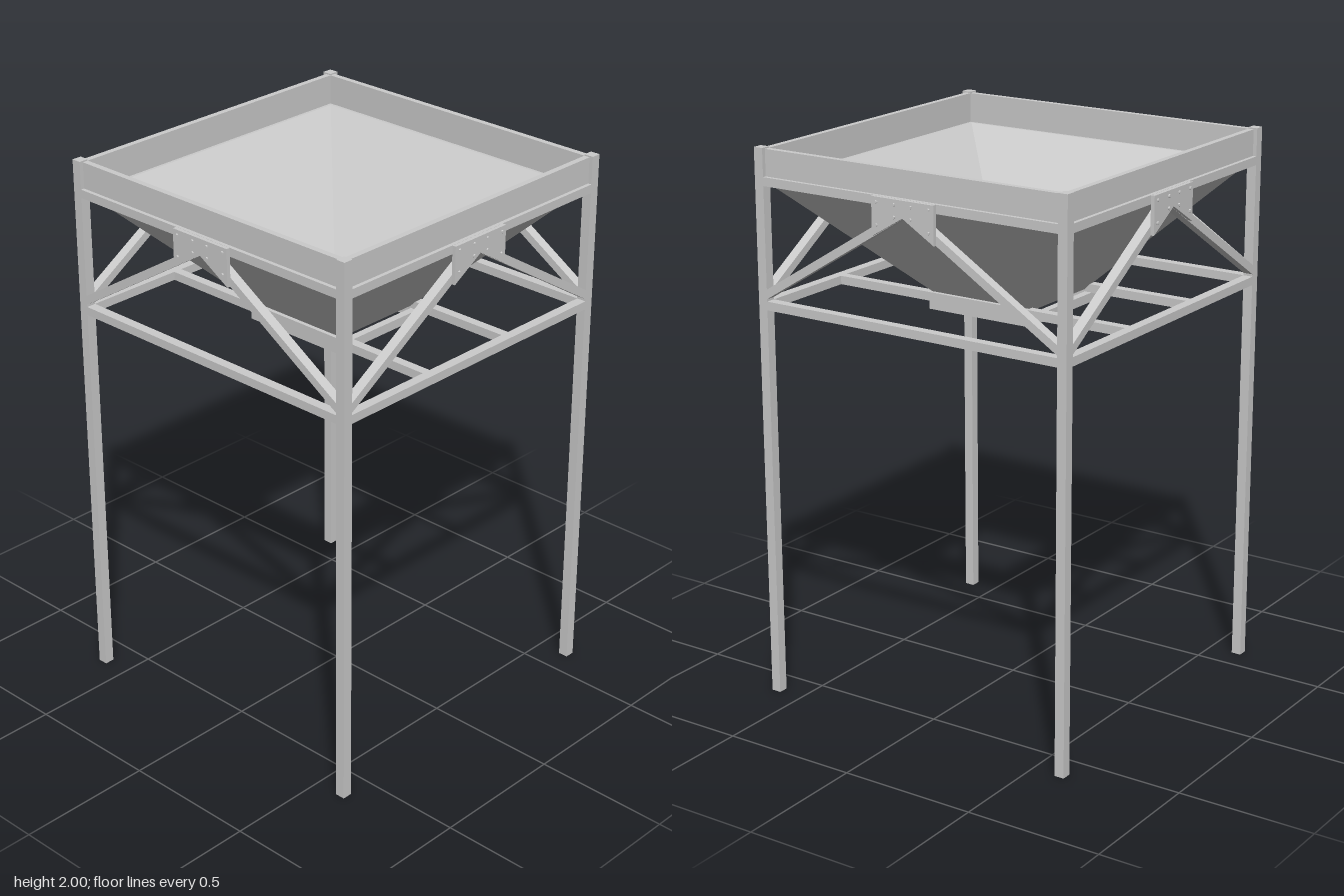
import * as THREE from 'three';

const material = new THREE.MeshStandardMaterial({ color: 0xcccccc, flatShading: true, side: THREE.DoubleSide });

function add(parent, name, geometry, x = 0, y = 0, z = 0) {
  const mesh = new THREE.Mesh(geometry, material);
  mesh.name = name;
  mesh.position.set(x, y, z);
  parent.add(mesh);
  return mesh;
}

// Flat outline in x/y, extruded along z from the given depth
function plate(points, depth) {
  const shape = new THREE.Shape(points.map(([x, y]) => new THREE.Vector2(x, y)));
  return new THREE.ExtrudeGeometry(shape, { depth, bevelEnabled: false });
}

// Square ring swept from a closed [half width, height] profile
function squareRing(profile) {
  const points = [...profile, profile[0]].map(([r, y]) => new THREE.Vector2(r * Math.SQRT2, y));
  return new THREE.LatheGeometry(points, 4).rotateY(Math.PI / 4);
}

const OUT = 0.628, BAR = 0.036, MID = OUT - BAR / 2, IN = OUT - BAR;

// One side of the frame, facing +z
function createSide() {
  const side = new THREE.Group();
  side.name = 'frameSide';
  add(side, 'rimPanel', new THREE.BoxGeometry(IN * 2, 0.095, 0.022), 0, 1.9475, IN + 0.011);
  add(side, 'upperRail', new THREE.BoxGeometry(IN * 2, 0.031, BAR), 0, 1.885, MID);
  add(side, 'lowerRail', new THREE.BoxGeometry(IN * 2, 0.031, BAR), 0, 1.45, MID);

  // Two diagonal braces meeting under the upper rail
  const braces = [[-IN, 1.474], [0, 1.84], [IN, 1.474], [IN, 1.508], [0, 1.874], [-IN, 1.508]];
  add(side, 'diagonalBraces', plate(braces, BAR), 0, 0, IN);

  // Gusset plate with bolts
  const gusset = [[-0.125, 1.9], [-0.125, 1.765], [0, 1.84], [0.125, 1.765], [0.125, 1.9]];
  add(side, 'gussetPlate', plate(gusset, 0.014), 0, 0, OUT);
  for (const [x, y] of [[0.105, 1.882], [0.033, 1.882], [0.105, 1.805], [0.033, 1.84]]) {
    for (const s of [-1, 1]) {
      const bolt = new THREE.CylinderGeometry(0.006, 0.006, 0.008, 6).rotateX(Math.PI / 2);
      add(side, 'bolt', bolt, s * x, y, OUT + 0.016);
    }
  }
  return side;
}

export function createModel() {
  const model = new THREE.Group();
  model.name = 'hopperStand';

  for (const x of [-MID, MID]) {
    for (const z of [-MID, MID]) {
      add(model, 'leg', new THREE.BoxGeometry(BAR, 2, BAR), x, 1, z);
    }
  }

  for (let i = 0; i < 4; i++) {
    const side = createSide();
    side.rotation.y = i * Math.PI / 2;
    model.add(side);
  }

  // Funnel with a narrow lip and an open outlet
  add(model, 'hopper', squareRing([[0.181, 1.444], [0.595, 1.872], [0.595, 1.886], [0.58, 1.886], [0.181, 1.468]]));
  add(model, 'outletCollar', squareRing([[0.182, 1.403], [0.21, 1.403], [0.21, 1.436], [0.182, 1.436]]));

  // Beams carrying the outlet
  for (const z of [-0.2, 0.2]) {
    add(model, 'supportBeam', new THREE.BoxGeometry(IN * 2, 0.031, 0.034), 0, 1.45, z);
  }
  return model;
}
